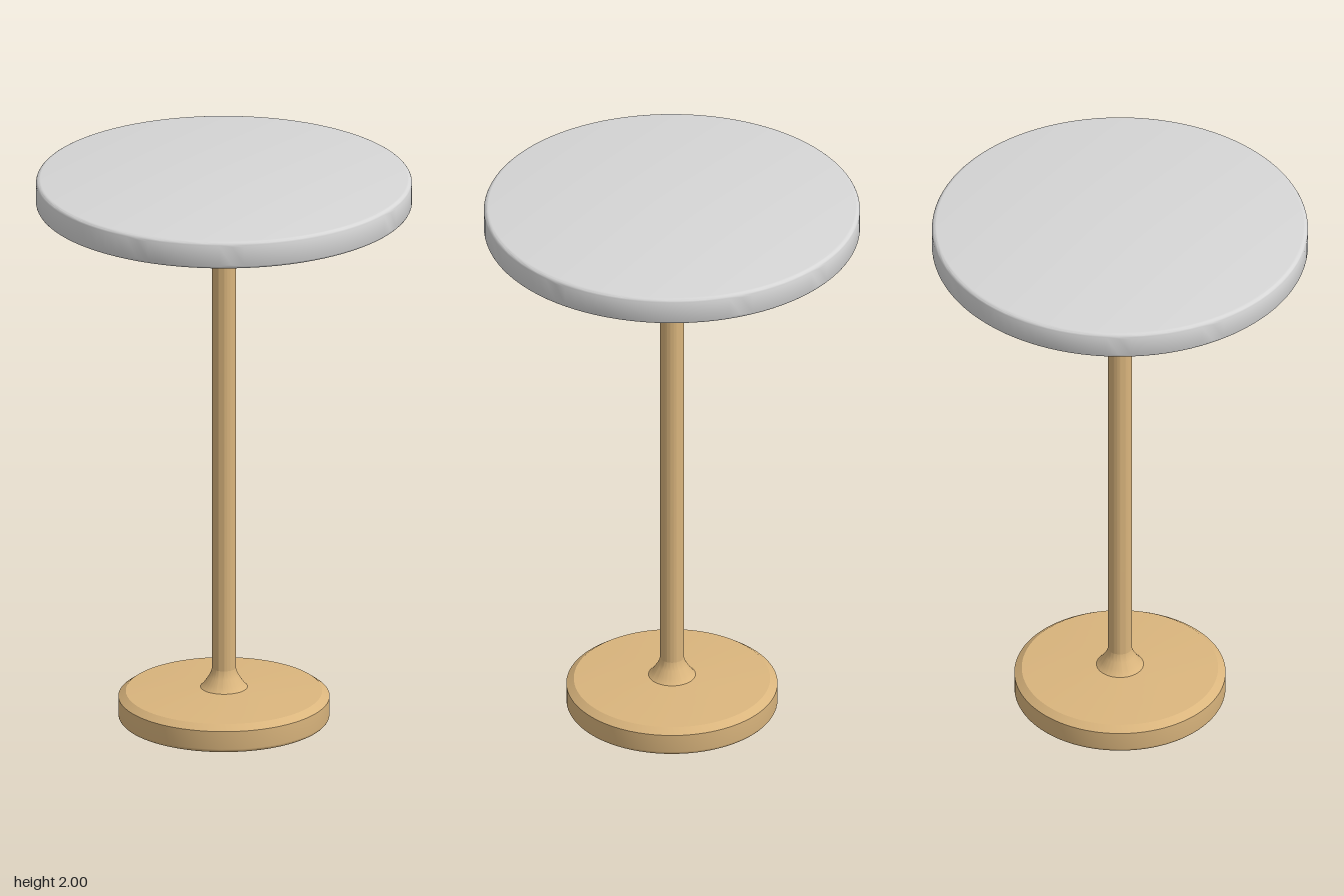
import * as THREE from 'three';
import { toCreasedNormals } from 'three/addons/utils/BufferGeometryUtils.js';

const brass = new THREE.MeshStandardMaterial({ color: 0xdab57d });
brass.name = 'warm tan';
const stone = new THREE.MeshStandardMaterial({ color: 0xd6d6d6 });
stone.name = 'light grey';

// Turned part from a bottom-to-top list of [radius, height]
function turned(name, profile, material, crease = 0.5) {
  const points = profile.map(([r, y]) => new THREE.Vector2(r, y));
  const geometry = toCreasedNormals(new THREE.LatheGeometry(points, 96), crease);
  const mesh = new THREE.Mesh(geometry, material);
  mesh.name = name;
  return mesh;
}

// Quarter-round edge points centred on (r, y)
function roundEdge(r, y, radius, from, steps = 5) {
  return Array.from({ length: steps + 1 }, (_, i) => {
    const a = from + (i / steps) * Math.PI / 2;
    return [r + radius * Math.cos(a), y + radius * Math.sin(a)];
  });
}

export function createModel() {
  const table = new THREE.Group();
  table.name = 'pedestalTable';

  // Weighted foot with a chamfered, gently domed top
  table.add(turned('base', [
    [0, 0],
    ...roundEdge(0.355, 0.014, 0.014, -Math.PI / 2),
    [0.369, 0.08], [0.343, 0.099], [0.08, 0.115], [0, 0.115],
  ], brass));

  // Flared collar where the column meets the base
  table.add(turned('lowerCollar', [
    [0.086, 0.112], [0.078, 0.118], [0.066, 0.134], [0.052, 0.156], [0.045, 0.17], [0.042, 0.185],
  ], brass));

  // Slim column
  table.add(turned('column', [[0.042, 0.17], [0.042, 1.83]], brass));

  // Flared collar under the support plate
  table.add(turned('upperCollar', [
    [0, 1.815], [0.042, 1.815], [0.046, 1.822], [0.073, 1.85], [0.084, 1.862],
  ], brass));

  // Support plate with a shallow conical underside
  table.add(turned('supportPlate', [
    [0, 1.858], [0.08, 1.86], [0.33, 1.873], [0.33, 1.902], [0, 1.902],
  ], brass));

  // Round top with softened edges
  table.add(turned('tableTop', [
    [0, 1.9],
    ...roundEdge(0.641, 1.916, 0.016, -Math.PI / 2),
    ...roundEdge(0.641, 1.984, 0.016, 0),
    [0, 2],
  ], stone));

  return table;
}
